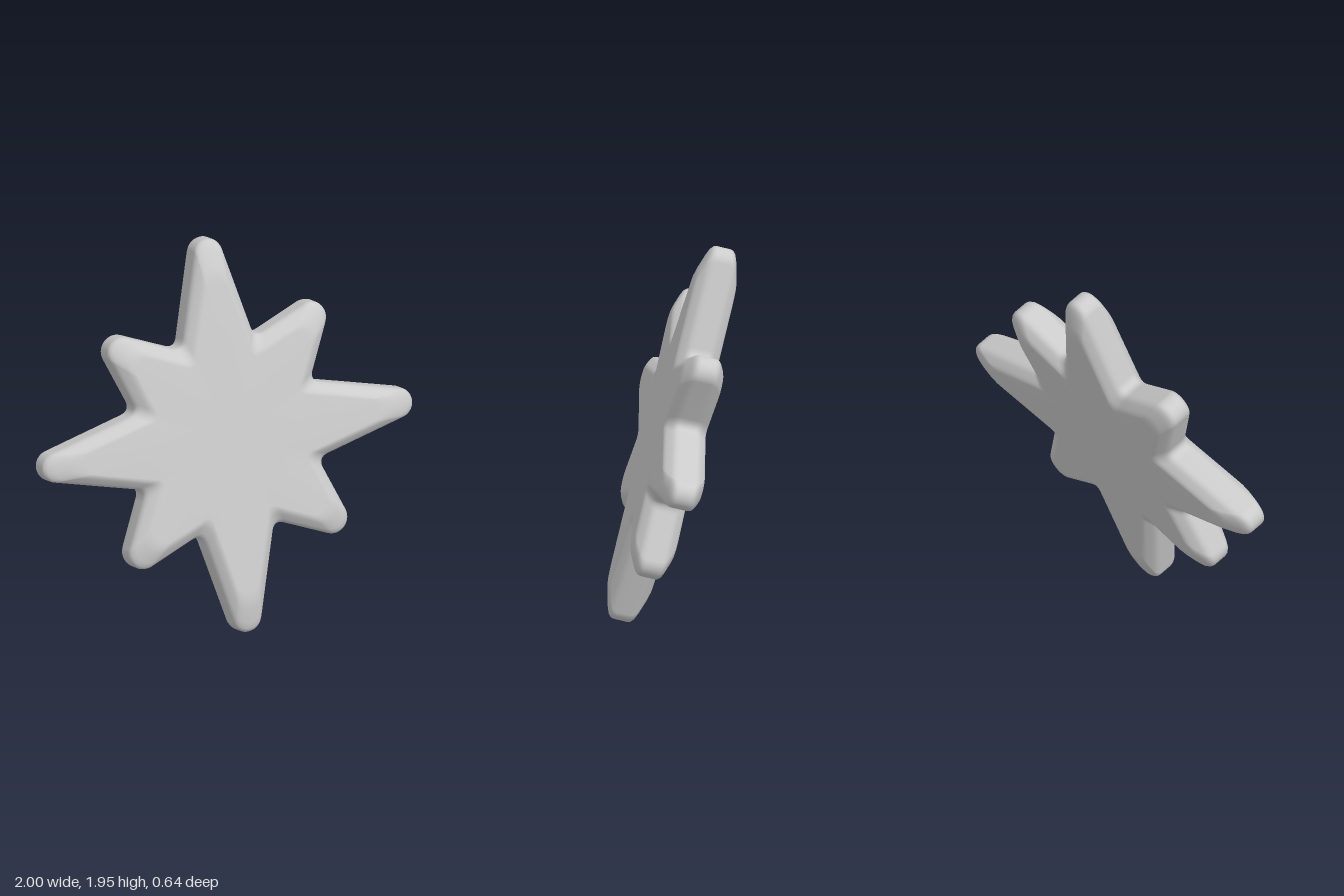
import * as THREE from 'three';

const TILT = THREE.MathUtils.degToRad(15);
const DEG = Math.PI / 180;

// Arm tips: distance of the tip circle, its radius, and half sweep of the round cap
const LONG = { reach: 0.925, radius: 0.075, sweep: 75.5 * DEG };
const SHORT = { reach: 0.721, radius: 0.08, sweep: 68 * DEG };
const VALLEY = { reach: 0.505, angle: 22.9 * DEG, fillet: 0.06 };

// Cross-section from front centre to back centre: [outline scale, height]
const HALF = [
  [0, 0.11], [0.4, 0.11], [0.79, 0.109], [0.835, 0.106], [0.88, 0.096],
  [0.95, 0.075], [0.98, 0.063], [0.995, 0.05], [1, 0.035],
];
const PROFILE = [...HALF, ...HALF.map(([s, h]) => [s, -h]).reverse()];

const polar = (r, a) => new THREE.Vector2(r * Math.cos(a), r * Math.sin(a));

// Rounded tip of one arm, counter-clockwise
function tipArc(k, steps = 14) {
  const a = k * Math.PI / 4;
  const { reach, radius, sweep } = k % 2 ? SHORT : LONG;
  const pts = [];
  for (let i = 0; i <= steps; i++) {
    pts.push(polar(reach, a).add(polar(radius, a + sweep * (2 * i / steps - 1))));
  }
  return pts;
}

// Eight-armed outline with rounded tips and filleted valleys
function starOutline() {
  const tips = Array.from({ length: 8 }, (_, k) => tipArc(k));
  const outline = [];
  tips.forEach((tip, k) => {
    const next = tips[(k + 1) % 8];
    const from = tip[tip.length - 1];
    const angle = k % 2 ? (k + 1) * Math.PI / 4 - VALLEY.angle : k * Math.PI / 4 + VALLEY.angle;
    const corner = polar(VALLEY.reach, angle);
    const toward = (p) => p.clone().sub(corner).setLength(VALLEY.fillet).add(corner);
    const fillet = new THREE.QuadraticBezierCurve(toward(from), corner, toward(next[0]));
    outline.push(...tip, ...fillet.getPoints(8));
  });
  return outline;
}

// Sweep the outline through the cross-section as scaled rings
function starGeometry() {
  const outline = starOutline();
  const n = outline.length;
  const positions = [];
  const index = [];
  PROFILE.forEach(([s, h], r) => {
    outline.forEach((p, i) => {
      positions.push(p.x * s, p.y * s, h);
      if (r === PROFILE.length - 1) return;
      const j = (i + 1) % n;
      const a = r * n + i, d = r * n + j;
      const b = a + n, c = d + n;
      if (r > 0) index.push(a, c, d);
      if (r < PROFILE.length - 2) index.push(a, b, c);
      else index.push(a, b, d);
    });
  });
  const geometry = new THREE.BufferGeometry();
  geometry.setAttribute('position', new THREE.Float32BufferAttribute(positions, 3));
  geometry.setIndex(index);
  geometry.computeVertexNormals();
  // The centre rings collapse to a point and face straight out
  const normal = geometry.attributes.normal;
  const last = (PROFILE.length - 1) * n;
  for (let i = 0; i < n; i++) {
    normal.setXYZ(i, 0, 0, 1);
    normal.setXYZ(last + i, 0, 0, -1);
  }
  return geometry;
}

export function createModel() {
  const group = new THREE.Group();
  group.name = 'eightPointedStar';
  const star = new THREE.Mesh(starGeometry(), new THREE.MeshStandardMaterial({ color: 0xcccccc }));
  star.name = 'star';
  // Leans back, resting on its lowest tip
  star.rotation.x = -TILT;
  star.position.y = 0.98;
  group.add(star);
  return group;
}
